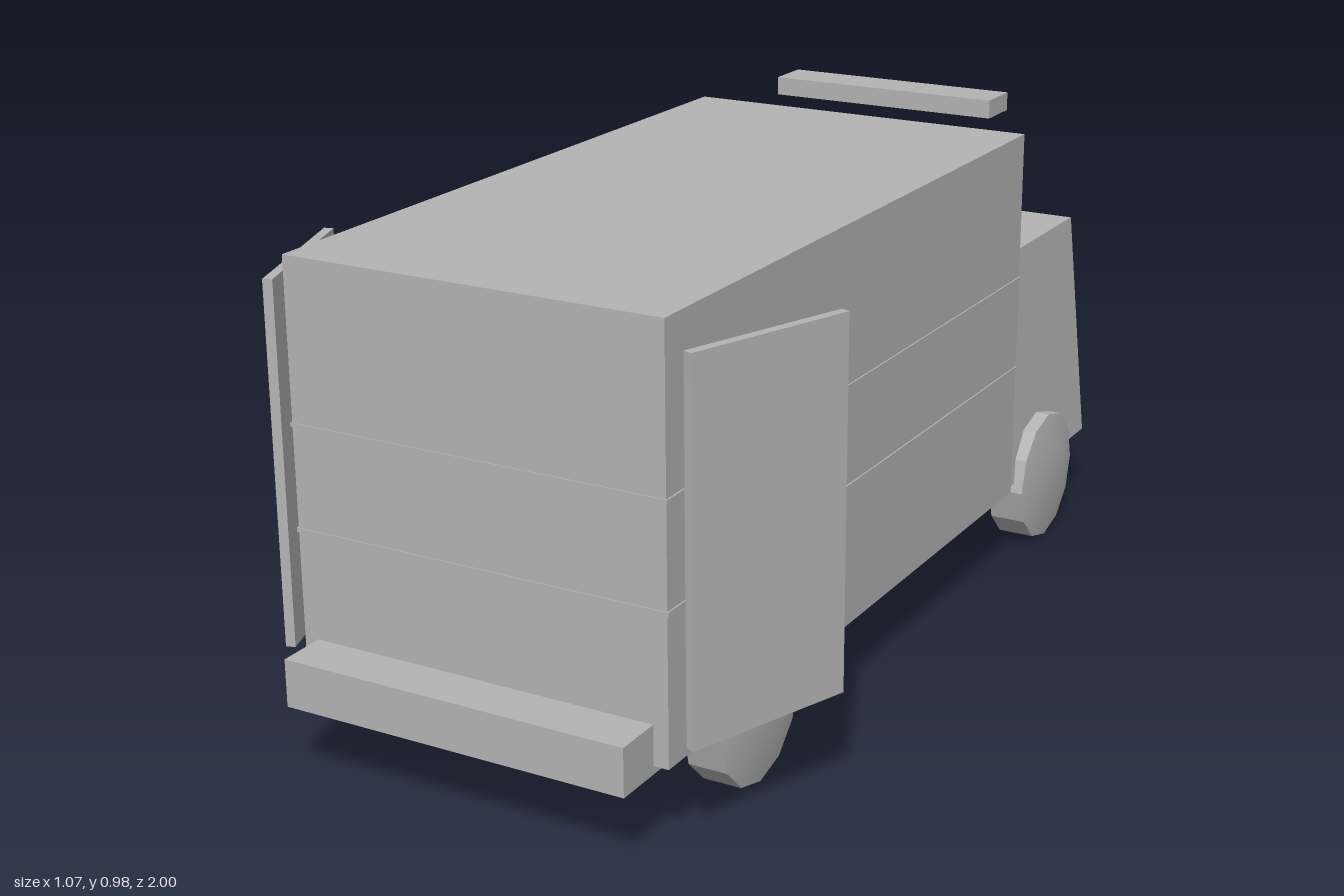
import * as THREE from 'three';
import { toCreasedNormals } from 'three/addons/utils/BufferGeometryUtils.js';

const paint = new THREE.MeshStandardMaterial({ color: 0xb4b4b4 });
paint.name = 'plain grey';

export function createModel() {
  const truck = new THREE.Group();
  truck.name = 'boxTruck';

  const add = (name, geometry) => {
    const mesh = new THREE.Mesh(geometry, paint);
    mesh.name = name;
    truck.add(mesh);
    return mesh;
  };
  // Box given by its lower and upper limits on each axis
  const box = (name, [x0, x1], [y0, y1], [z0, z1]) => {
    const mesh = add(name, new THREE.BoxGeometry(x1 - x0, y1 - y0, z1 - z0));
    mesh.position.set((x0 + x1) / 2, (y0 + y1) / 2, (z0 + z1) / 2);
    return mesh;
  };

  // Chassis slab whose ends form both bumpers
  box('chassisAndBumpers', [-0.345, 0.345], [0.145, 0.236], [-1, 1]);

  // Cargo body with two thin trim bands around it
  box('cargoBody', [-0.374, 0.374], [0.16, 0.94], [-0.534, 0.905]);
  for (const y of [0.44, 0.635]) {
    box('trimBand', [-0.377, 0.377], [y - 0.004, y + 0.004], [-0.536, 0.907]);
  }

  // Cab, tapered toward its roof
  const cab = new THREE.BoxGeometry(1, 1, 1);
  const p = cab.attributes.position;
  for (let i = 0; i < p.count; i++) {
    const top = p.getY(i) > 0;
    const x = Math.sign(p.getX(i)) * (top ? 0.32 : 0.36);
    const z = p.getZ(i) > 0 ? (top ? -0.543 : -0.53) : (top ? -0.958 : -0.985);
    p.setXYZ(i, x, top ? 0.66 : 0.16, z);
  }
  cab.computeVertexNormals();
  add('cab', cab);

  // Strip across the cab front
  box('cabFrontStrip', [-0.32, 0.32], [0.462, 0.482], [-0.976, -0.95]);

  // Light bar above the cab
  box('lightBar', [-0.25, 0.25], [0.938, 0.976], [-0.735, -0.64]);

  // Wheel: twelve sides with a raised hub on either face
  const profile = [[0, -0.049], [0.08, -0.049], [0.14, -0.038], [0.14, 0.038], [0.08, 0.049], [0, 0.049]]
    .map(([r, h]) => new THREE.Vector2(r, h));
  const wheel = toCreasedNormals(new THREE.LatheGeometry(profile, 12).rotateZ(-Math.PI / 2), 0.3);

  for (const [side, s] of [['left', 1], ['right', -1]]) {
    // Headlight
    const [a, b] = s > 0 ? [0.2, 0.31] : [-0.31, -0.2];
    box(side + 'Headlight', [a, b], [0.252, 0.316], [-0.996, -0.965]);

    // Rear door swung open
    const door = add(side + 'RearDoor', new THREE.BoxGeometry(0.018, 0.685, 0.337));
    door.position.set(s * 0.47, 0.5475, 0.743);
    door.rotation.y = -s * THREE.MathUtils.degToRad(20);

    // Front and rear wheels
    for (const [end, z] of [['Front', -0.72], ['Rear', 0.6]]) {
      add(side + end + 'Wheel', wheel).position.set(s * 0.343, 0.14, z);
    }
  }
  return truck;
}
